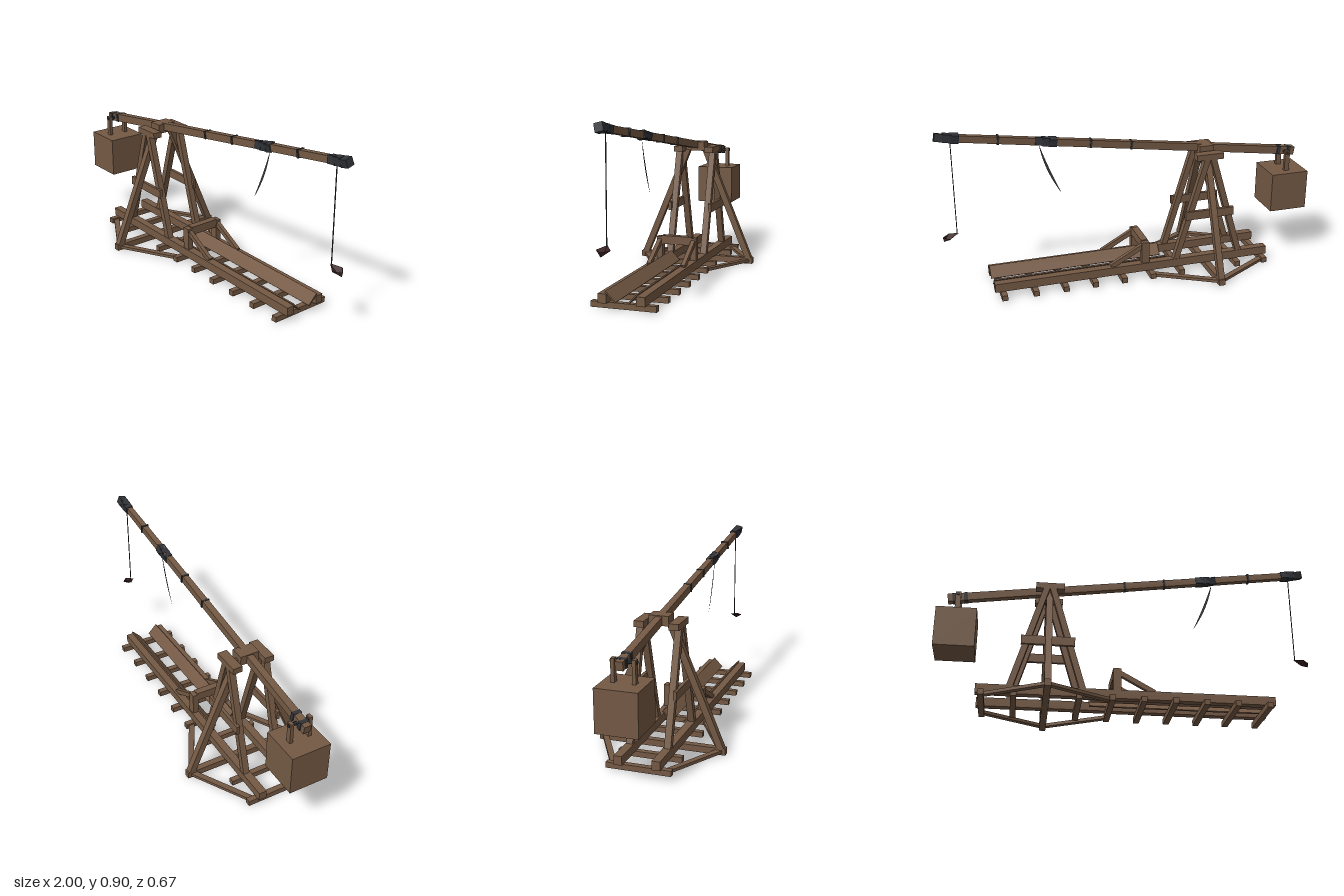
import * as THREE from 'three';

const mat = (name, color, side = THREE.FrontSide) => {
  const m = new THREE.MeshStandardMaterial({ color, side, flatShading: true });
  m.name = name;
  return m;
};

export function createModel() {
  const root = new THREE.Group();
  root.name = 'trebuchet';
  const wood = mat('wood', 0x745944);
  const iron = mat('iron', 0x303236);
  const rope = mat('rope', 0x3c3d3e, THREE.DoubleSide);
  const leather = mat('leather', 0x3a2222, THREE.DoubleSide);

  const add = (name, geo, material, parent = root) => {
    const m = new THREE.Mesh(geo, material);
    m.name = name;
    parent.add(m);
    return m;
  };
  // Axis-aligned block given by its limits
  const block = (name, x0, x1, y0, y1, z0, z1, material = wood) => {
    const m = add(name, new THREE.BoxGeometry(x1 - x0, y1 - y0, z1 - z0), material);
    m.position.set((x0 + x1) / 2, (y0 + y1) / 2, (z0 + z1) / 2);
    return m;
  };
  // Timber running between two points; w is sideways, h upwards
  const beam = (name, a, b, w, h, material = wood) => {
    const p = new THREE.Vector3(...a), q = new THREE.Vector3(...b);
    const m = add(name, new THREE.BoxGeometry(w, h, p.distanceTo(q)), material);
    m.position.copy(p).lerp(q, 0.5);
    m.lookAt(q);
    return m;
  };

  // Base: sleepers and the long outrigger under the tower
  for (const x of [-0.74, -0.58, -0.255, -0.09, 0.07, 0.23, 0.39, 0.55, 0.715])
    block('sleeper', x - 0.015, x + 0.015, 0.005, 0.034, -0.165, 0.165);
  block('outrigger', -0.436, -0.402, 0, 0.034, -0.335, 0.335);

  for (const s of [1, -1]) {
    const side = (name, x0, x1, y0, y1, za, zb) =>
      block(name, x0, x1, y0, y1, Math.min(s * za, s * zb), Math.max(s * za, s * zb));

    side('rail', -0.77, 0.757, 0.034, 0.08, 0.075, 0.117);
    for (const x of [-0.745, -0.085])
      beam('outriggerBrace', [-0.42, 0.017, s * 0.31], [x, 0.017, s * 0.125], 0.03, 0.016);

    // Tower
    beam('towerLeg', [-0.61, 0.05, s * 0.098], [-0.432, 0.65, s * 0.098], 0.034, 0.032);
    beam('towerLeg', [-0.228, 0.05, s * 0.098], [-0.406, 0.65, s * 0.098], 0.034, 0.032);
    side('towerCrosspiece', -0.557, -0.281, 0.306, 0.353, 0.108, 0.126);
    side('axleBearing', -0.492, -0.342, 0.635, 0.667, 0.064, 0.115);
    beam('sideStrut', [-0.419, 0.012, s * 0.318], [-0.419, 0.645, s * 0.054], 0.034, 0.034);

    // Projectile trough plank and its end stop
    beam('troughPlank', [-0.19, 0.066, s * 0.056], [0.755, 0.066, s * 0.056], 0.072, 0.007)
      .rotateZ(-s * 0.8);
    side('stopPost', -0.082, -0.04, 0.07, 0.2, 0.08, 0.112);
    beam('stopBrace', [-0.06, 0.185, s * 0.095], [0.13, 0.08, s * 0.095], 0.022, 0.026);

    // Counterweight hangers
    side('hanger', -0.908, -0.88, 0.495, 0.613, 0.042, 0.06);
  }
  block('stopBeam', -0.08, -0.042, 0.16, 0.206, -0.085, 0.085);
  block('counterweight', -1, -0.79, 0.285, 0.5, -0.105, 0.105);

  // Axle and the block that clamps the arm to it
  const axle = add('axle', new THREE.CylinderGeometry(0.013, 0.013, 0.2, 8), wood);
  axle.rotation.x = Math.PI / 2;
  axle.position.set(-0.419, 0.65, 0);
  block('axleClamp', -0.456, -0.38, 0.642, 0.692, -0.052, 0.052);
  const pin = add('hangerPin', new THREE.CylinderGeometry(0.009, 0.009, 0.13, 6), iron);
  pin.rotation.x = Math.PI / 2;
  pin.position.set(-0.894, 0.6, 0);

  // Throwing arm: local x runs along it from the heavy end
  const arm = new THREE.Group();
  arm.name = 'arm';
  arm.position.set(-0.952, 0.595, 0);
  arm.rotation.z = Math.atan2(0.275, 1.945);
  root.add(arm);
  const L = 1.96;
  const geo = new THREE.BoxGeometry(L, 0.044, 0.038).translate(L / 2, 0, 0);
  const pos = geo.attributes.position;
  for (let i = 0; i < pos.count; i++) {
    const k = 1 - 0.22 * pos.getX(i) / L;
    pos.setY(i, pos.getY(i) * k);
    pos.setZ(i, pos.getZ(i) * k);
  }
  add('armBeam', geo, wood, arm);
  // Iron bindings: overlapping collars, each turned a little
  const binding = (x, length, size, turn, name = 'ironBinding') => {
    const m = add(name, new THREE.BoxGeometry(length, size, size), iron, arm);
    m.position.x = x;
    m.rotation.set(turn, 0, turn * 0.3);
  };
  for (const x of [1.37, 1.405, 1.44]) binding(x, 0.042, 0.041, (x - 1.4) * 6);
  for (const x of [1.865, 1.9, 1.94]) binding(x, 0.045, 0.041, (x - 1.89) * 5);
  for (const x of [0.035, 0.095]) binding(x, 0.02, 0.046, 0.05);
  for (const x of [0.95, 1.17, 1.65]) binding(x, 0.01, 0.043, 0, 'armBand');

  // Sling: a hanging line, a slack cord and the pouch
  beam('slingLine', [0.915, 0.86, 0], [0.916, 0.338, 0], 0.004, 0.004, rope);
  const cord = new THREE.Shape();
  cord.moveTo(0.476, 0.78);
  cord.quadraticCurveTo(0.452, 0.63, 0.364, 0.498);
  cord.quadraticCurveTo(0.425, 0.63, 0.476, 0.78);
  add('slackCord', new THREE.ShapeGeometry(cord, 10), rope);

  // Pouch: folded hide with two raised corners and a low keel
  const pouch = new THREE.BufferGeometry();
  const c = [
    [0.908, 0.346, 0], [0.955, 0.332, 0.035], [0.955, 0.332, -0.035],
    [0.99, 0.33, 0], [0.985, 0.306, 0], [0.955, 0.312, 0],
  ];
  const faces = [[0, 1, 5], [0, 5, 2], [1, 4, 5], [5, 4, 2], [1, 3, 4], [4, 3, 2]];
  pouch.setAttribute('position',
    new THREE.Float32BufferAttribute(faces.flat().flatMap(i => c[i]), 3));
  pouch.computeVertexNormals();
  add('slingPouch', pouch, leather);

  return root;
}
